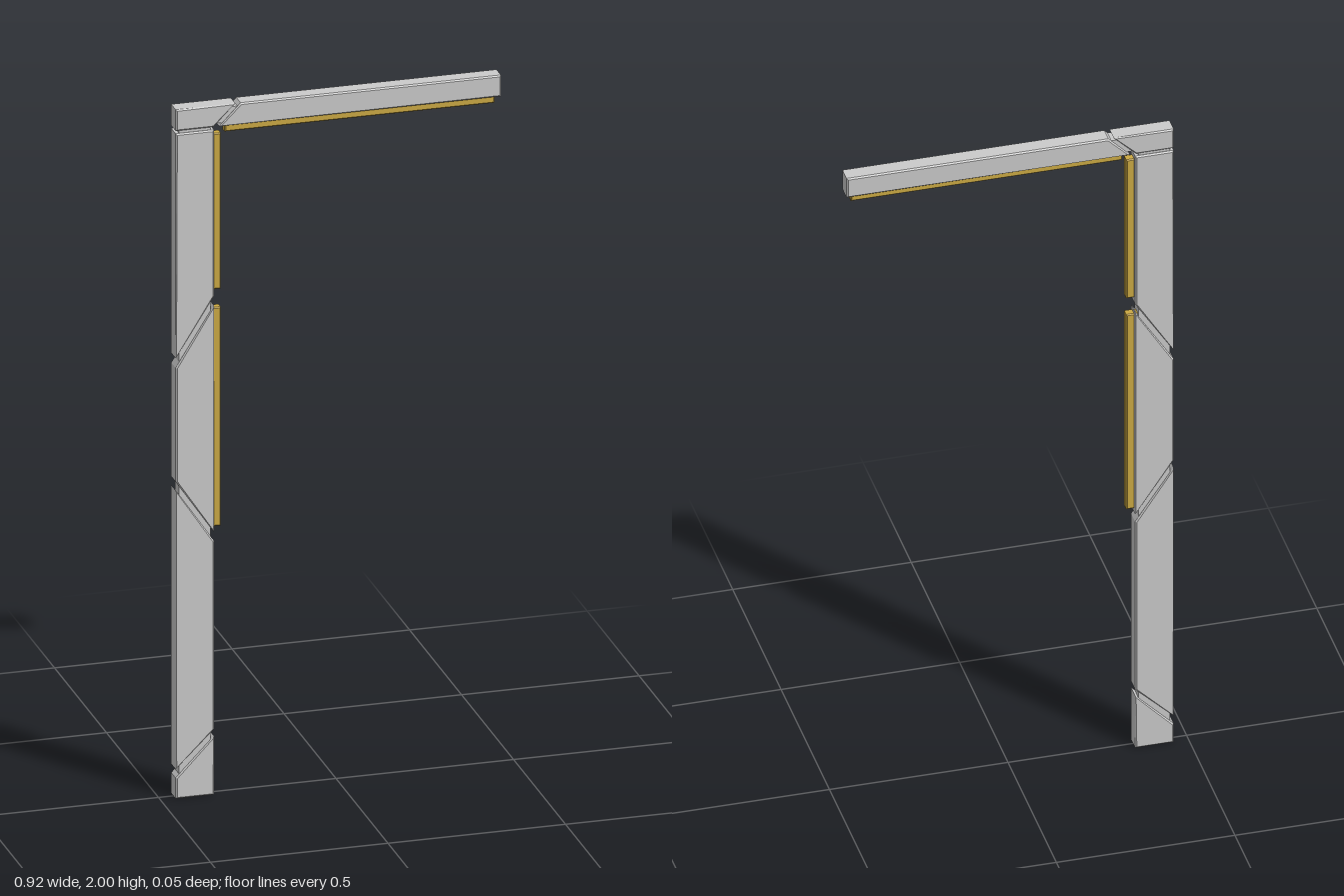
import * as THREE from 'three';

const grey = new THREE.MeshStandardMaterial({ color: 0xcccccc });
const gold = new THREE.MeshStandardMaterial({ color: 0xccaa44 });

// Outline in the xy plane, extruded symmetrically about z = 0 with chamfered edges
function slab(name, points, depth, bevel, material) {
  const shape = new THREE.Shape(points.map(([x, y]) => new THREE.Vector2(x, y)));
  const geometry = new THREE.ExtrudeGeometry(shape, {
    depth: depth - 2 * bevel,
    bevelEnabled: bevel > 0,
    bevelThickness: bevel,
    bevelSize: bevel,
    bevelOffset: -bevel,
    bevelSegments: 1,
  });
  geometry.translate(0, 0, bevel - depth / 2);
  const mesh = new THREE.Mesh(geometry, material);
  mesh.name = name;
  return mesh;
}

const rect = (x0, x1, y0, y1) => [[x0, y0], [x1, y0], [x1, y1], [x0, y1]];

export function createModel() {
  const group = new THREE.Group();
  group.name = 'halfDoorFrame';
  const L = -0.458, R = -0.35, D = 0.05, B = 0.004;

  // Post panels: bottom-left, bottom-right, top-right, top-left heights
  const panels = {
    postFoot: [0, 0, 0.17, 0.06],
    lowerPostPanel: [0.085, 0.19, 0.737, 0.895],
    middlePostPanel: [0.92, 0.762, 1.42, 1.25],
    upperPostPanel: [1.278, 1.447, 1.93, 1.93],
  };
  for (const [name, [bl, br, tr, tl]] of Object.entries(panels)) {
    group.add(slab(name, [[L, bl], [R, br], [R, tr], [L, tl]], D, B, grey));
  }

  // Corner cap and lintel, separated by a slanted gap
  group.add(slab('cornerCap', [[L, 1.938], [-0.352, 1.938], [-0.29, 2], [L, 2]], D, B, grey));
  group.add(slab('lintelPanel', [[-0.335, 1.938], [0.458, 1.938], [0.458, 2], [-0.275, 2]], D, B, grey));

  // Recessed cores showing in the gaps
  group.add(slab('postCore', rect(L + 0.01, R - 0.01, 0.01, 1.96), 0.04, 0, grey));
  group.add(slab('lintelCore', rect(L + 0.01, 0.448, 1.947, 1.991), 0.04, 0, grey));

  // Gold strips along the inner faces
  group.add(slab('middlePostStrip', rect(R - 0.01, -0.328, 0.775, 1.41), 0.026, 0.003, gold));
  group.add(slab('upperPostStrip', rect(R - 0.01, -0.328, 1.463, 1.915), 0.026, 0.003, gold));
  group.add(slab('lintelStrip', rect(-0.317, 0.443, 1.917, 1.95), 0.026, 0.003, gold));

  return group;
}
